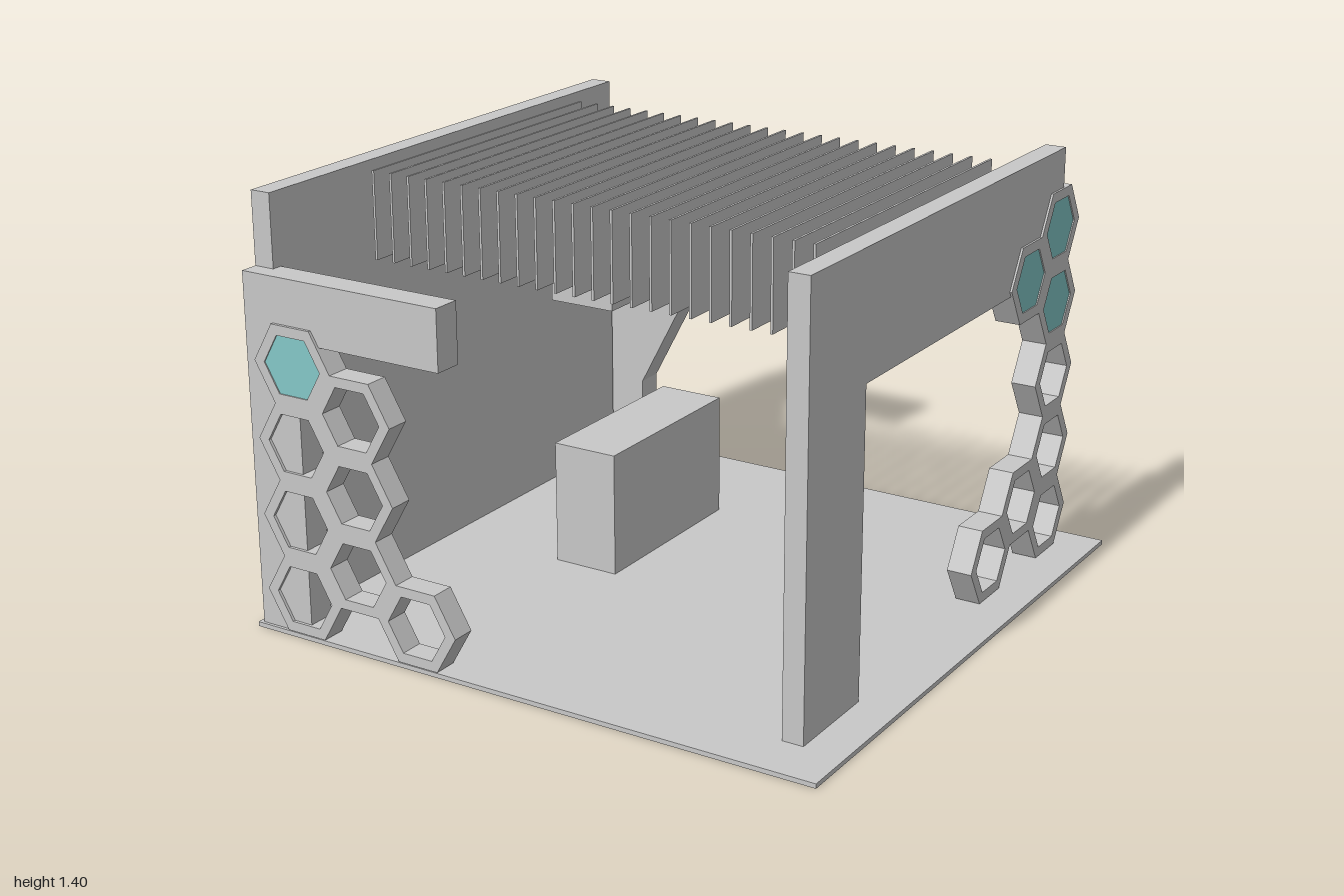
import * as THREE from 'three';

const grey = new THREE.MeshStandardMaterial({ color: 0xc8c8c8 });
grey.name = 'paleGrey';
const teal = new THREE.MeshStandardMaterial({ color: 0x84c8c8 });
teal.name = 'tealGlass';

export function createModel() {
  const model = new THREE.Group();
  model.name = 'exhibitionBooth';

  function add(parent, name, geometry, material = grey) {
    const mesh = new THREE.Mesh(geometry, material);
    mesh.name = name;
    parent.add(mesh);
    return mesh;
  }

  // Box given by its limits on each axis
  function box(name, [x0, x1], [y0, y1], [z0, z1]) {
    const mesh = add(model, name, new THREE.BoxGeometry(x1 - x0, y1 - y0, z1 - z0));
    mesh.position.set((x0 + x1) / 2, (y0 + y1) / 2, (z0 + z1) / 2);
  }

  // Outline in x and y, extruded from z0 to z1
  function slab(name, points, z0, z1) {
    const shape = new THREE.Shape(points.map(([x, y]) => new THREE.Vector2(x, y)));
    const geometry = new THREE.ExtrudeGeometry(shape, { depth: z1 - z0, bevelEnabled: false });
    geometry.translate(0, 0, z0);
    add(model, name, geometry);
  }

  // Flat-topped hexagon corners
  function hexagon(radius) {
    return Array.from({ length: 6 }, (_, i) => new THREE.Vector2(
      radius * Math.cos(i * Math.PI / 3), radius * Math.sin(i * Math.PI / 3)));
  }

  // Honeycomb screen: open cells, some filled with glass
  function honeycomb(name, cells, depth) {
    const group = new THREE.Group();
    group.name = name;
    const ring = new THREE.Shape(hexagon(0.145));
    ring.holes.push(new THREE.Path(hexagon(0.107).reverse()));
    const ringGeometry = new THREE.ExtrudeGeometry(ring, { depth, bevelEnabled: false });
    ringGeometry.translate(0, 0, -depth / 2);
    const paneDepth = depth - 0.008;
    const paneGeometry = new THREE.ExtrudeGeometry(new THREE.Shape(hexagon(0.107)),
      { depth: paneDepth, bevelEnabled: false });
    paneGeometry.translate(0, 0, -paneDepth / 2);
    for (const [x, y, glazed] of cells) {
      add(group, 'honeycombCell', ringGeometry).position.set(x, y, 0);
      if (glazed) add(group, 'glassPane', paneGeometry, teal).position.set(x, y, 0);
    }
    model.add(group);
    return group;
  }

  // Floor and left-hand wall
  box('floor', [-1, 1], [0, 0.015], [-1, 1]);
  box('sideWall', [-0.985, -0.915], [0.005, 1.4], [-0.89, 0.93]);

  // Front return: post and short beam
  slab('frontReturn', [[-0.985, 0.005], [-0.79, 0.005], [-0.79, 0.97], [-0.26, 0.97],
    [-0.26, 1.165], [-0.985, 1.165]], 0.895, 0.99);

  // Back return with a pointed edge
  slab('backReturn', [[-0.985, 0.005], [-0.79, 0.005], [-0.79, 0.29], [-0.61, 0.63],
    [-0.79, 0.97], [-0.26, 0.97], [-0.26, 1.165], [-0.985, 1.165]], -0.995, -0.9);

  // Opposite frame: one post and a long beam
  box('framePost', [0.795, 0.865], [0.005, 1.0], [0.5, 0.83]);
  box('frameBeam', [0.795, 0.865], [1.0, 1.4], [-0.835, 0.83]);

  // Hanging ceiling fins
  for (let i = 0; i < 24; i++) {
    const x = -0.821 + i * 0.0673;
    box('ceilingFin', [x - 0.004, x + 0.004], [1.115, 1.4], [-0.57, 0.56]);
  }

  // Counter, open towards the wall
  box('counterFront', [-0.28, -0.25], [0.005, 0.43], [-0.555, 0.105]);
  box('counterTop', [-0.48, -0.28], [0.4, 0.43], [-0.555, 0.105]);
  box('counterEnd', [-0.48, -0.28], [0.005, 0.4], [0.075, 0.105]);
  box('counterEnd', [-0.48, -0.28], [0.005, 0.4], [-0.555, -0.525]);

  // Canopy over the counter
  slab('canopy', [[-0.915, 1.08], [-0.48, 1.05], [-0.48, 0.92], [-0.25, 0.92],
    [-0.25, 1.05], [-0.26, 1.06], [-0.915, 1.11]], -0.555, 0.105);

  // Honeycomb on the front return
  honeycomb('frontHoneycomb', [
    [-0.803, 0.893, true], [-0.803, 0.643], [-0.803, 0.393], [-0.803, 0.143],
    [-0.586, 0.768], [-0.586, 0.518], [-0.586, 0.268], [-0.37, 0.143],
  ], 0.08).position.z = 0.96;

  // Honeycomb at the back end of the frame
  const sideScreen = honeycomb('sideHoneycomb', [
    [0.81, 1.143, true], [0.594, 1.018, true], [0.81, 0.893, true], [0.81, 0.643],
    [0.81, 0.393], [0.81, 0.143], [0.594, 0.268], [0.377, 0.143],
  ], 0.084);
  sideScreen.rotation.y = Math.PI / 2;
  sideScreen.position.x = 0.83;

  return model;
}
